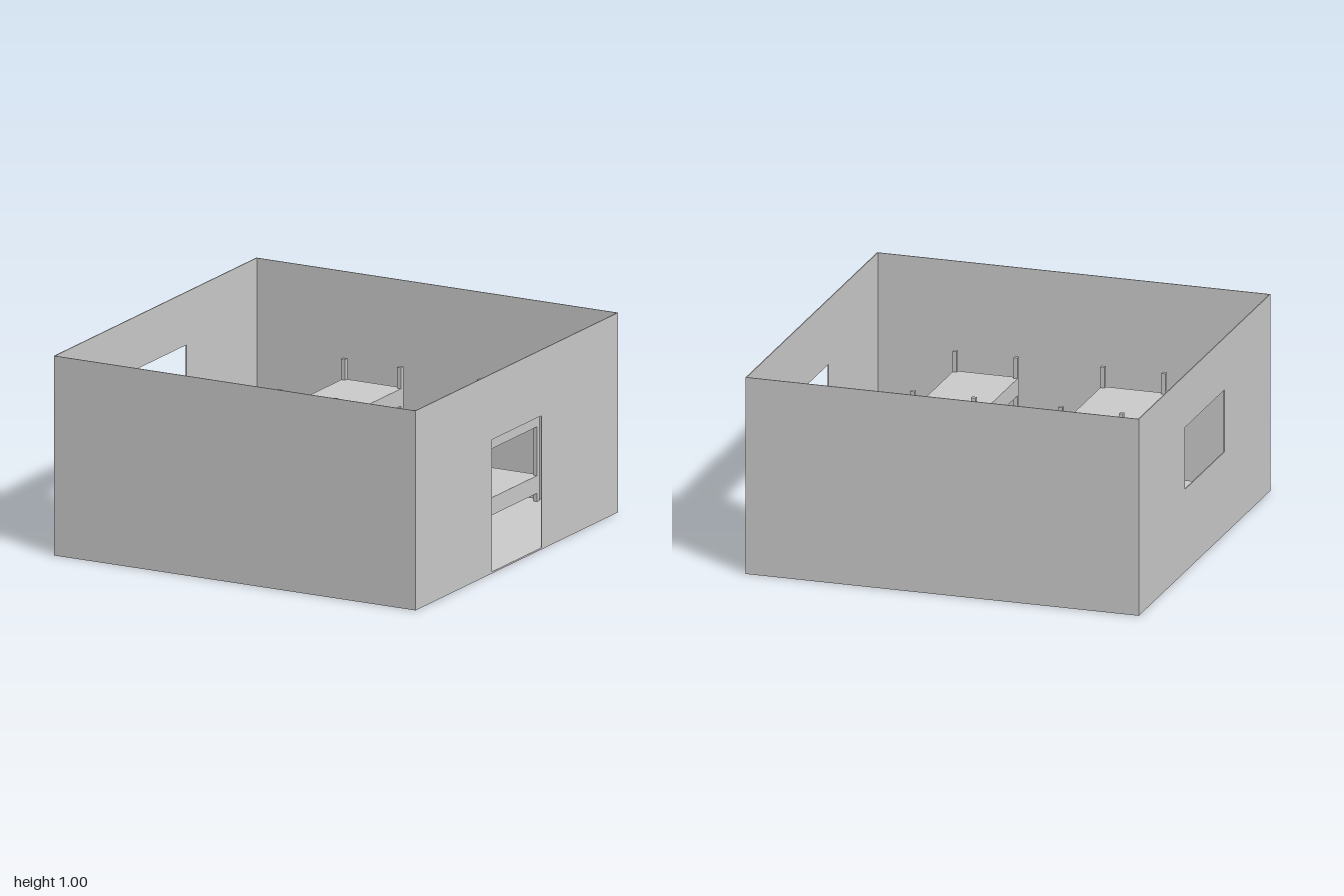
import * as THREE from 'three';

const material = new THREE.MeshStandardMaterial({ color: 0xcccccc, flatShading: true, side: THREE.DoubleSide });
const WALL = 0.005;  // wall thickness
const FLOOR = 0.008; // floor thickness

// Box given by its minimum and maximum corners
function box(name, [x0, y0, z0], [x1, y1, z1]) {
  const mesh = new THREE.Mesh(new THREE.BoxGeometry(x1 - x0, y1 - y0, z1 - z0), material);
  mesh.name = name;
  mesh.position.set((x0 + x1) / 2, (y0 + y1) / 2, (z0 + z1) / 2);
  return mesh;
}

// Side wall in the yz plane with one centred rectangular opening
function sideWall(name, x, halfWidth, bottom, top) {
  const shape = new THREE.Shape([[-1, 0], [1, 0], [1, 1], [-1, 1]].map(p => new THREE.Vector2(...p)));
  shape.holes.push(new THREE.Path([
    [-halfWidth, bottom], [-halfWidth, top], [halfWidth, top], [halfWidth, bottom],
  ].map(p => new THREE.Vector2(...p))));
  const geometry = new THREE.ExtrudeGeometry(shape, { depth: WALL, bevelEnabled: false });
  geometry.rotateY(Math.PI / 2);
  const mesh = new THREE.Mesh(geometry, material);
  mesh.name = name;
  mesh.position.x = x;
  return mesh;
}

// Bunk bed: four corner posts and two thick decks
function bunkBed(name, x, z) {
  const width = 0.332, length = 0.664, post = 0.022, height = 0.575, inset = 0.001;
  const bed = new THREE.Group();
  bed.name = name;
  for (const px of [0, width - post]) {
    for (const pz of [0, length - post]) {
      bed.add(box('bedPost', [px, FLOOR, pz], [px + post, height, pz + post]));
    }
  }
  for (const [deck, y0, y1] of [['lowerBunk', 0.05, 0.138], ['upperBunk', 0.383, 0.47]]) {
    bed.add(box(deck, [inset, y0, inset], [width - inset, y1, length - inset]));
  }
  bed.position.set(x, 0, z);
  return bed;
}

export function createModel() {
  const room = new THREE.Group();
  room.name = 'bunkRoom';

  // Open-topped shell
  room.add(box('floor', [-1, 0, -1], [1, FLOOR, 1]));
  room.add(box('frontWall', [-1, 0, 1 - WALL], [1, 1, 1]));
  room.add(box('backWall', [-1, 0, -1], [1, 1, -1 + WALL]));
  room.add(sideWall('doorWall', 1 - WALL, 0.245, FLOOR, 0.67));
  room.add(sideWall('windowWall', -1, 0.3, 0.42, 0.735));

  // Four bunk beds in two rows
  for (const [row, z] of [['back', -0.969], ['front', 0.251]]) {
    for (const [side, x] of [['Right', -0.502], ['Left', 0.25]]) {
      room.add(bunkBed(`${row}${side}Bunk`, x, z));
    }
  }

  // Low chest under the window
  room.add(box('chest', [-0.966, FLOOR, -0.298], [-0.72, 0.255, 0.298]));
  return room;
}
